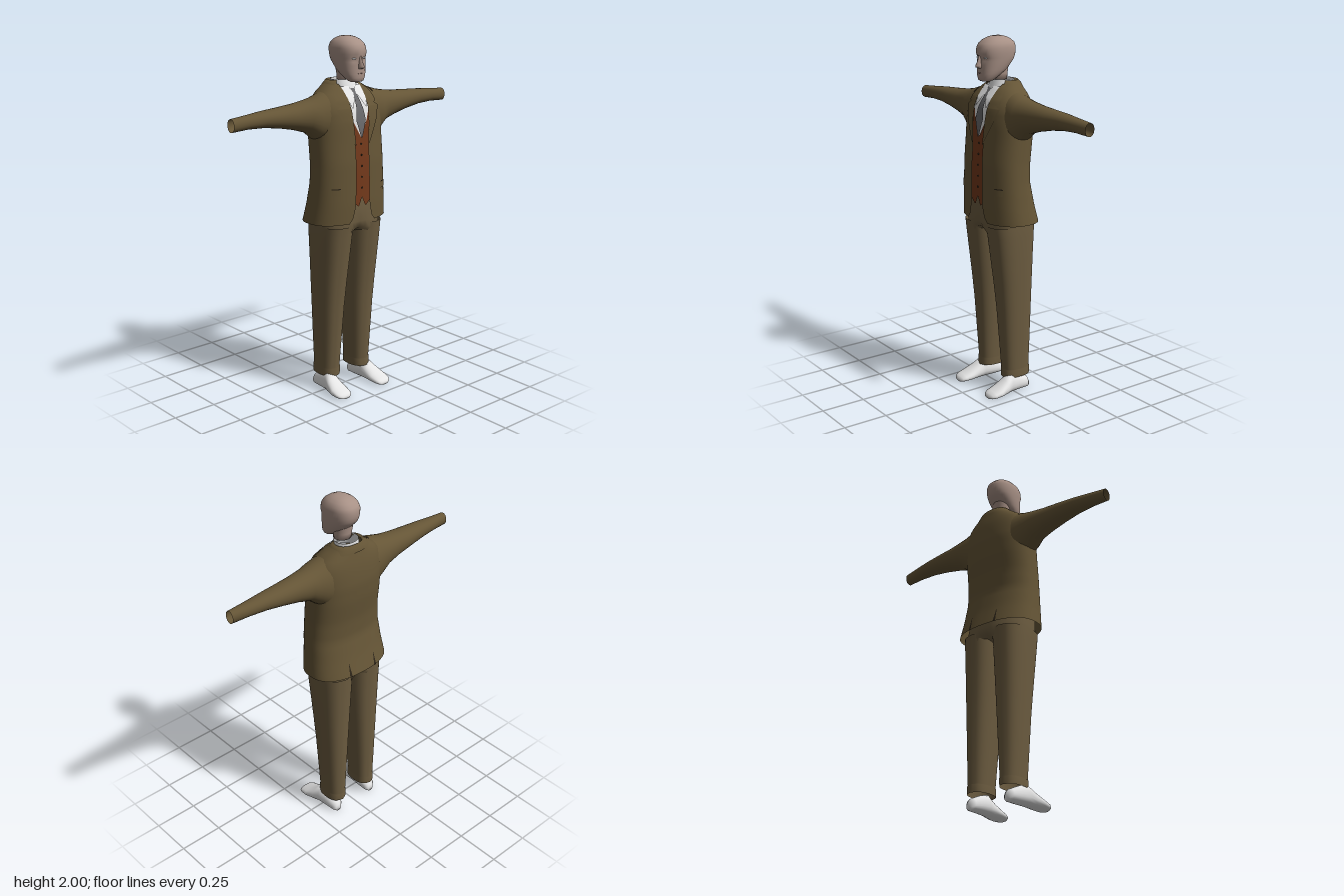
import * as THREE from 'three';

const mat = (name, color) => {
  const m = new THREE.MeshStandardMaterial({ color, side: THREE.DoubleSide });
  m.name = name;
  return m;
};

// Superellipse outline: half width w, v runs from lo to hi; optional arc range
function oval(w, hi, lo, n = 2.4, a0 = 0, a1 = Math.PI * 2, count = 40, closed = true) {
  const pw = (c) => Math.sign(c) * Math.abs(c) ** (2 / n);
  return Array.from({ length: count }, (_, i) => {
    const a = a0 + (a1 - a0) * i / (closed ? count : count - 1);
    return [w * pw(Math.cos(a)), (hi + lo) / 2 + (hi - lo) / 2 * pw(Math.sin(a))];
  });
}

// Skin a list of rings, with optional end caps and a test for faces to leave out
function loft(rings, { closed = true, caps = [false, false], skip = () => false } = {}) {
  const n = rings[0].length, pts = rings.flat(), idx = [];
  for (let r = 0; r < rings.length - 1; r++)
    for (let i = 0; i < (closed ? n : n - 1); i++) {
      const j = (i + 1) % n, a = r * n + i, b = r * n + j, c = a + n, d = b + n;
      const mid = [0, 1, 2].map((k) => (pts[a][k] + pts[b][k] + pts[c][k] + pts[d][k]) / 4);
      if (!skip(...mid)) idx.push(a, c, b, b, c, d);
    }
  const all = [...pts];
  [0, rings.length - 1].forEach((r, e) => {
    if (!caps[e]) return;
    const center = [0, 1, 2].map((k) => rings[r].reduce((s, p) => s + p[k], 0) / n);
    all.push(center);
    for (let i = 0; i < n; i++) {
      const p = r * n + i, q = r * n + (i + 1) % n;
      idx.push(all.length - 1, ...(e ? [q, p] : [p, q]));
    }
  });
  const g = new THREE.BufferGeometry();
  g.setAttribute('position', new THREE.Float32BufferAttribute(all.flat(), 3));
  g.setIndex(idx);
  g.computeVertexNormals();
  return g;
}

// Linear lookup in rows keyed by their first value
function lookup(rows, y) {
  let i = 0;
  while (i < rows.length - 2 && y > rows[i + 1][0]) i++;
  const t = THREE.MathUtils.clamp((y - rows[i][0]) / (rows[i + 1][0] - rows[i][0]), 0, 1);
  return rows[i].map((v, k) => v + (rows[i + 1][k] - v) * t);
}

// Jacket body: height, half width, front z, back z
const BODY = [[1, .25, .143, -.175], [1.1, .238, .145, -.148], [1.22, .228, .143, -.122],
  [1.33, .223, .142, -.125], [1.45, .222, .133, -.14], [1.55, .222, .127, -.145],
  [1.62, .218, .115, -.138], [1.67, .2, .092, -.13], [1.7, .17, .068, -.122],
  [1.73, .125, .045, -.115], [1.755, .09, .015, -.108]];
// Jacket opening: height, half width
const OPEN = [[1, .09], [1.03, .066], [1.1, .049], [1.4, .045], [1.55, .057], [1.755, .07]];

function bodyZ(x, y, side) {
  const [, w, f, b] = lookup(BODY, y), u = Math.min(Math.abs(x) / w, .97);
  return (f + b) / 2 + side * (f - b) / 2 * (1 - u ** 2.4) ** (1 / 2.4);
}

// Thin panel following the body; rows are height, x from, x to
function panel(rows, offset, s = 1, side = 1) {
  const steps = 7, fine = [];
  rows.forEach((r, i) => {
    const nx = rows[i + 1];
    for (let k = 0; k < (nx ? 4 : 1); k++) fine.push(nx ? r.map((v, c) => v + (nx[c] - v) * k / 4) : r);
  });
  return loft(fine.map(([y, x0, x1]) => Array.from({ length: steps }, (_, i) => {
    const x = s * (x0 + (x1 - x0) * i / (steps - 1));
    return [x, y, bodyZ(x, y, side) + side * offset];
  })), { closed: false });
}

export function createModel() {
  const root = new THREE.Group();
  root.name = 'suitedFigure';
  const tweed = mat('jacket brown', 0x655536), wool = mat('trouser brown', 0x6c5c40);
  const rust = mat('waistcoat rust', 0x73391b), white = mat('white', 0xe4e4e4);
  const grey = mat('tie grey', 0x6a6a6c), skin = mat('skin', 0xa89186);
  const dark = mat('dark trim', 0x2c2418), lip = mat('lip', 0x866c63);
  const add = (name, geometry, material) => {
    const m = new THREE.Mesh(geometry, material);
    m.name = name;
    root.add(m);
    return m;
  };
  const flat = (y, pts, cx = 0) => pts.map(([x, z]) => [cx + x, y, z]);

  // Jacket body, open at the front and at the armholes
  const rows = Array.from({ length: 29 }, (_, i) => 1 + .755 * i / 28);
  add('jacketBody', loft(rows.map((y) => {
    const [, w, f, b] = lookup(BODY, y), o = lookup(OPEN, y)[1];
    const a0 = Math.acos((o / w) ** 1.2);
    return flat(y, oval(w, f, b, 2.4, a0, -Math.PI - a0, 60, false));
  }), {
    closed: false,
    skip: (x, y, z) => Math.abs(x) > .15 && y > 1.53 && y < 1.67 && z > -.06 && z < .045,
  }), tweed);

  // Jacket collar rolled around the neck
  add('jacketCollar', loft([[1.725, .125, .045, -.122], [1.748, .1, .03, -.117], [1.765, .084, .012, -.103],
    [1.752, .076, .01, -.094]].map(([y, w, f, b]) =>
    flat(y, oval(w, f, b, 2.3, .8, -Math.PI - .8, 40, false))), { closed: false }), tweed);

  // Sleeves: x, top, bottom, front, back
  const SLEEVE = [[.16, 1.71, 1.42, .085, -.115], [.22, 1.69, 1.465, .08, -.107], [.27, 1.679, 1.505, .063, -.098],
    [.35, 1.668, 1.53, .052, -.088], [.45, 1.66, 1.552, .042, -.08], [.55, 1.654, 1.567, .032, -.068],
    [.65, 1.645, 1.572, .024, -.054], [.75, 1.638, 1.568, .018, -.038]];
  // Legs: height, inner x, outer x, front, back
  const LEG = [[.98, 0, .2, .128, -.145], [.92, .004, .2, .12, -.142], [.8, .012, .195, .105, -.137],
    [.65, .022, .189, .086, -.132], [.5, .032, .182, .07, -.128], [.3, .044, .174, .055, -.123],
    [.136, .054, .167, .043, -.118], [.134, .052, .17, .046, -.121], [.09, .053, .17, .046, -.121]];
  // Shoes: z, centre x, half width, top
  const SHOE = [[-.11, .13, .02, .045], [-.095, .13, .036, .07], [-.03, .132, .043, .1], [.02, .136, .046, .115],
    [.06, .142, .051, .085], [.11, .147, .056, .055], [.15, .148, .052, .04], [.168, .147, .042, .03],
    [.177, .146, .026, .02]];

  for (const s of [1, -1]) {
    const side = s > 0 ? 'left' : 'right';
    add(side + 'Sleeve', loft(SLEEVE.map(([x, t, b, f, k]) =>
      oval((f - k) / 2, t, b, 2.1, 0, Math.PI * 2, 28).map(([z, y]) => [s * x, y, z + (f + k) / 2]))), tweed);
    // Notched lapel
    add(side + 'Lapel', panel([[1.748, .068, .084], [1.7, .064, .125], [1.65, .061, .137], [1.642, .061, .118],
      [1.625, .06, .146], [1.55, .056, .115], [1.43, .045, .05]], .006, s), tweed);
    add(side + 'PocketFlap', panel([[1.2, .145, .19], [1.165, .145, .19]], .005, s), tweed);
    add(side + 'PocketSlit', panel([[1.205, .145, .19], [1.199, .145, .19]], .007, s), dark);
    add(side + 'BackVent', panel([[1.08, .088, .09], [1, .08, .096]], .003, s, -1), dark);
    // Waistcoat half with pointed hem and V neck
    add(side + 'Waistcoat', panel([[1.62, .075, .1], [1.56, .05, .1], [1.47, 0, .1], [1.14, 0, .085],
      [1.09, .022, .03]], -.008, s), rust);
    add(side + 'ShirtCollarPoint', panel([[1.735, .02, .068], [1.7, .008, .066], [1.66, .025, .06],
      [1.625, .046, .05]], .004, s), white);
    // Leg with a pressed crease
    add(side + 'TrouserLeg', loft(LEG.map(([y, xi, xo, f, b]) =>
      oval((xo - xi) / 2, f, b, 2.5).map(([x, z]) => {
        const crease = .005 * Math.exp(-((x / .012) ** 2));
        return [s * (x + (xi + xo) / 2), y, z + Math.sign(z - (f + b) / 2) * crease];
      }))), wool);
    add(side + 'Shoe', loft(SHOE.map(([z, cx, w, t]) =>
      oval(w, t, .002, 2.3, 0, Math.PI * 2, 24).map(([x, y]) => {
        const narrow = 1 - .3 * Math.max(0, y / .115 - .3);
        return [s * (cx + x * narrow), y, z];
      })), { caps: [true, true] }), white);
    // Eye
    const eye = add(side + 'Eye', new THREE.SphereGeometry(1, 16, 10), white);
    eye.scale.set(.013, .0045, .006);
    eye.position.set(s * .034, 1.887, .107);
  }

  // Trouser seat, pinched between the legs
  add('trouserSeat', loft([[1.2, .19, .115, -.1, 0], [1.08, .197, .125, -.125, 0], [1, .2, .13, -.145, .03],
    [.96, .2, .129, -.146, .15], [.935, .198, .123, -.143, .6], [.915, .19, .113, -.138, .9]].map(([y, w, f, b, k]) =>
    oval(w, f, b, 2.5, 0, Math.PI * 2, 56).map(([x, z]) =>
      [x, y, z * (1 - k * Math.exp(-((x / .035) ** 2)))]))), wool);

  // Shirt, tie and waistcoat buttons
  add('shirtFront', panel([[1.74, -.08, .08], [1.66, -.1, .1], [1.44, -.08, .08]], -.013), white);
  add('shirtCollar', loft([[1.69, .078, .058, -.094], [1.73, .072, .045, -.09], [1.768, .066, .03, -.086]]
    .map(([y, w, f, b]) => flat(y, oval(w, f, b, 2.2)))), white);
  add('tie', panel([[1.722, -.02, .02], [1.682, -.013, .013], [1.56, -.034, .034], [1.465, -.004, .004]], .001), grey);
  for (let i = 0; i < 5; i++) {
    const y = 1.19 + i * .06;
    const button = add('waistcoatButton', new THREE.CylinderGeometry(.005, .005, .004, 12), dark);
    button.rotation.x = Math.PI / 2;
    button.position.set(0, y, bodyZ(0, y, 1) - .006);
  }

  // Head: height, half width, front, back, with shallow eye sockets
  const HEAD = [[1.762, .034, .108, .065], [1.768, .045, .117, .045], [1.785, .057, .12, .02], [1.805, .066, .121, -.01],
    [1.825, .072, .12, -.04], [1.85, .077, .12, -.062], [1.87, .08, .12, -.08], [1.888, .082, .121, -.089],
    [1.91, .084, .127, -.095], [1.94, .084, .123, -.096], [1.962, .077, .11, -.088], [1.98, .062, .086, -.068],
    [1.992, .042, .06, -.042], [1.998, .022, .035, -.02]];
  add('head', loft(HEAD.map(([y, w, f, b]) => oval(w, f, b, 2.25, 0, Math.PI * 2, 48).map(([x, z]) => {
    const socket = z > .03 ? .01 * Math.exp(-(((Math.abs(x) - .034) / .017) ** 2) - ((y - 1.886) / .013) ** 2) : 0;
    return [x, y, z - socket];
  })), { caps: [true, true] }), skin);
  add('neck', loft([[1.768, .05, .045, -.047], [1.8, .05, .045, -.049], [1.86, .056, .04, -.058]]
    .map(([y, w, f, b]) => flat(y, oval(w, f, b, 2))), { caps: [true, false] }), skin);
  add('nose', loft([[1.9, .007, .126, .1], [1.87, .01, .135, .1], [1.848, .015, .147, .1], [1.838, .016, .145, .1],
    [1.831, .012, .124, .1]].map(([y, w, f, b]) => flat(y, oval(w, f, b, 1.7, 0, Math.PI * 2, 16))),
  { caps: [true, true] }), skin);
  const mouth = add('mouth', new THREE.SphereGeometry(1, 16, 8), lip);
  mouth.scale.set(.02, .003, .006);
  mouth.position.set(0, 1.807, .117);
  return root;
}
